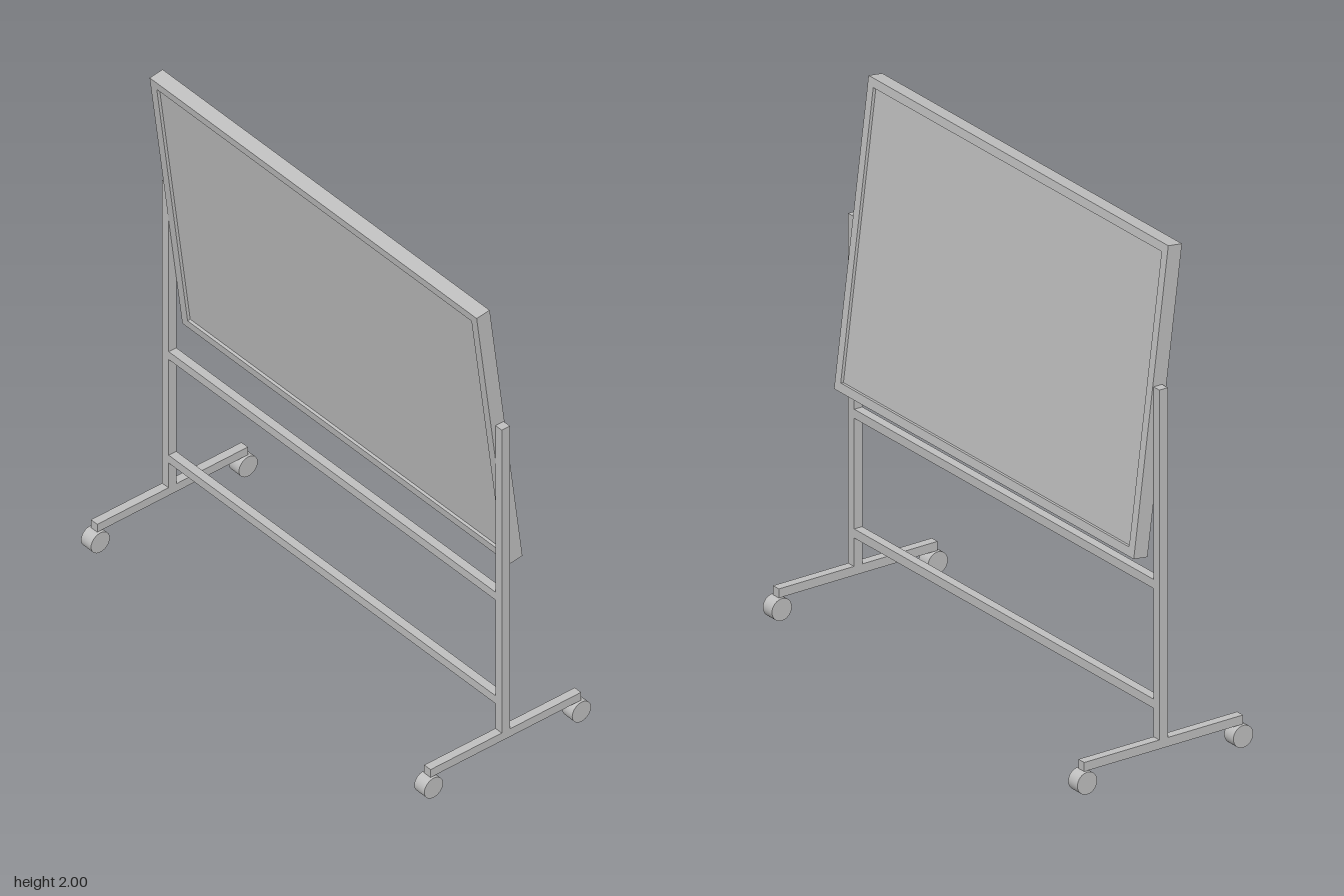
import * as THREE from 'three';

export function createModel() {
  const model = new THREE.Group();
  model.name = 'mobileBoard';
  const grey = new THREE.MeshStandardMaterial({ color: 0xc0c0c0 });
  grey.name = 'light grey';

  const add = (parent, name, geometry, x = 0, y = 0, z = 0) => {
    const mesh = new THREE.Mesh(geometry, grey);
    mesh.name = name;
    mesh.position.set(x, y, z);
    parent.add(mesh);
    return mesh;
  };

  // Tilting board: a rim with an opening, and a panel recessed on both sides
  const W = 1.794, H = 1.18, T = 0.06, RIM = 0.034, RECESS = 0.012;
  const rectangle = (target, w, h) => target
    .moveTo(-w / 2, -h / 2).lineTo(w / 2, -h / 2)
    .lineTo(w / 2, h / 2).lineTo(-w / 2, h / 2).closePath();
  const rim = rectangle(new THREE.Shape(), W, H);
  rim.holes.push(rectangle(new THREE.Path(), W - 2 * RIM, H - 2 * RIM));
  const rimGeometry = new THREE.ExtrudeGeometry(rim, { depth: T, bevelEnabled: false });
  rimGeometry.translate(0, 0, -T / 2).rotateY(Math.PI / 2);

  const board = new THREE.Group();
  board.name = 'board';
  board.position.y = 1.411;
  board.rotation.z = 0.1275;
  add(board, 'boardFrame', rimGeometry);
  add(board, 'writingPanel', new THREE.BoxGeometry(T - 2 * RECESS, H - 2 * RIM, W - 2 * RIM));
  model.add(board);

  // Crossbars between the posts
  const BAR = 0.035, SIDE = 0.914;
  for (const [name, y] of [['upperCrossbar', 0.71], ['lowerCrossbar', 0.248]]) {
    add(model, name, new THREE.BoxGeometry(BAR, BAR, 2 * SIDE - BAR), 0, y, 0);
  }

  // Post, foot and two casters at each end
  const R = 0.043;
  const wheel = new THREE.CylinderGeometry(R, R, 0.055, 32).rotateX(Math.PI / 2);
  for (const side of [1, -1]) {
    const z = side * SIDE;
    const end = side > 0 ? 'front' : 'back';
    add(model, end + 'Post', new THREE.BoxGeometry(0.037, 1.352, BAR), 0, 0.796, z);
    add(model, end + 'Foot', new THREE.BoxGeometry(0.69, BAR, BAR), 0, 0.1035, z);
    for (const x of [-0.339, 0.339]) {
      add(model, end + (x > 0 ? 'Left' : 'Right') + 'Caster', wheel, x, R, z);
    }
  }
  return model;
}
